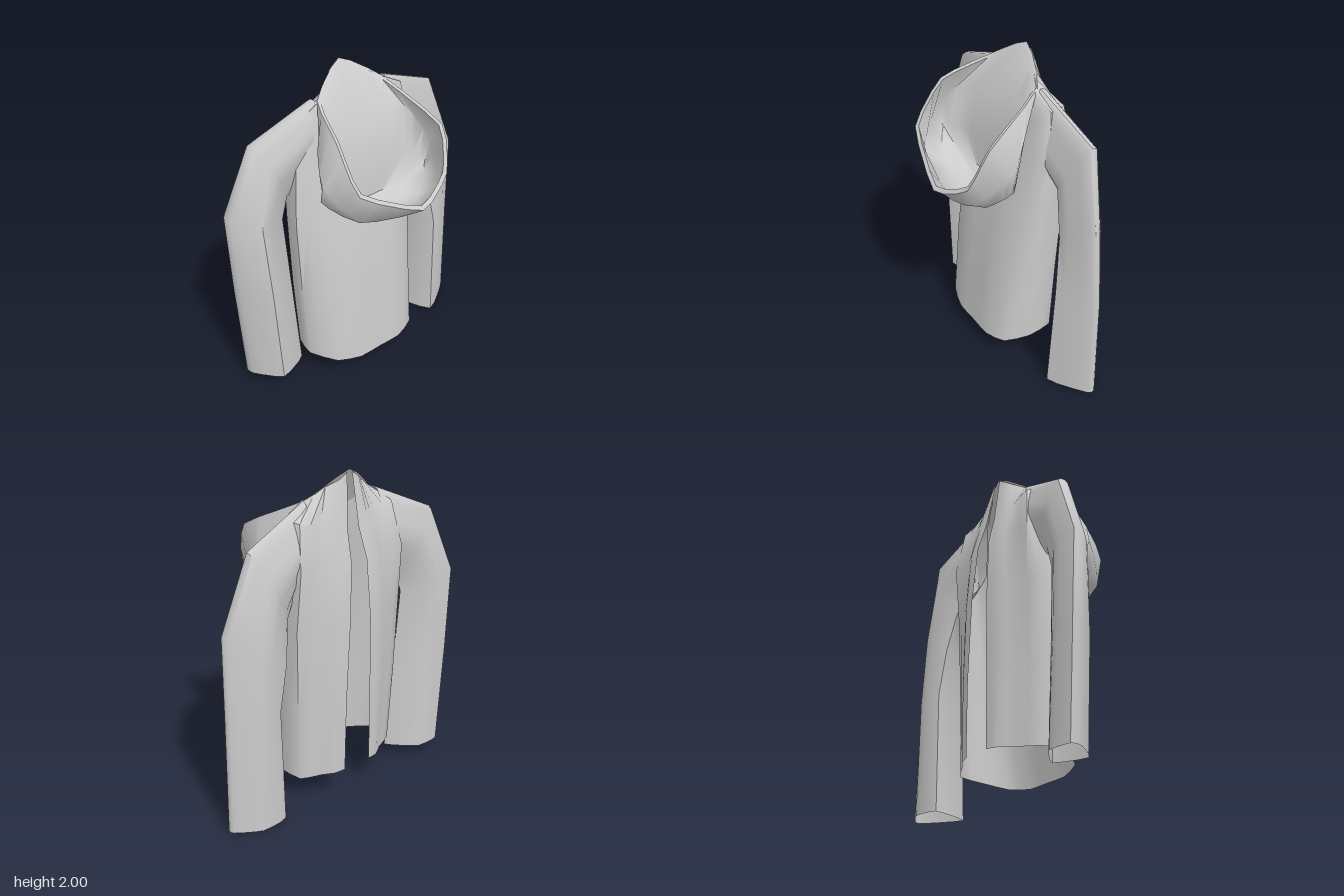
import * as THREE from 'three';
import { toCreasedNormals } from 'three/addons/utils/BufferGeometryUtils.js';

const material = new THREE.MeshStandardMaterial({ color: 0xcccccc, side: THREE.DoubleSide });
const V = (x, y, z) => new THREE.Vector3(x, y, z);
const mix = THREE.MathUtils.lerp;

// Slightly rounded polyline through the points.
const curve = (points, closed, segments) =>
  new THREE.CatmullRomCurve3(points, closed, 'catmullrom', 0.25).getPoints(segments);

// Skin a list of equally long cross-sections.
function loft(name, rows, crease) {
  const n = rows[0].length, index = [];
  for (let r = 0; r < rows.length - 1; r++) {
    for (let i = 0; i < n - 1; i++) {
      const a = r * n + i, b = a + 1, c = a + n, d = c + 1;
      index.push(a, c, b, b, c, d);
    }
  }
  const geometry = new THREE.BufferGeometry().setFromPoints(rows.flat());
  geometry.setIndex(index);
  const mesh = new THREE.Mesh(toCreasedNormals(geometry, crease), material);
  mesh.name = name;
  return mesh;
}

// Jacket body: open cross-sections running from one front edge round the back to the other.
function body() {
  // front x, y, edge +z, -z | side x, y, +z, -z | back x, y | boxiness of front +z, -z, back
  const rows = [
    [-0.385, 0.20, 0.11, 0.08, -0.14, 0.17, 0.43, 0.345, 0.095, 0.12, 0.4, 0.5, 0.8],
    [-0.39, 0.65, 0.10, 0.08, -0.15, 0.65, 0.455, 0.365, 0.05, 0.65, 0.4, 0.5, 0.75],
    [-0.39, 1.15, 0.09, 0.06, -0.16, 1.15, 0.46, 0.385, 0.0, 1.10, 0.45, 0.55, 0.65],
    [-0.37, 1.50, 0.07, 0.04, -0.18, 1.50, 0.42, 0.39, -0.075, 1.45, 0.75, 0.75, 0.75],
    [-0.32, 1.68, 0.05, 0.03, -0.19, 1.77, 0.36, 0.36, -0.11, 1.63, 0.7, 0.7, 0.8],
    [-0.275, 1.985, 0.035, 0.0, -0.17, 1.845, 0.25, 0.22, -0.12, 1.74, 0.05, 0.05, 0.8],
  ].map(([fx, fy, ep, en, sx, sy, zp, zn, bx, by, boxP, boxN, back]) => {
    const half = (s, e, w, box, corner) => [
      V(fx, fy, s * e),
      V(mix(fx, sx, 0.06), mix(fy, sy, 0.25), s * mix(e, w, 0.25)),
      V(mix(fx, sx, mix(0.5, 0.25, Math.min(1, box * 2))), mix(fy, sy, 0.5), s * mix(e, w, 0.5)),
      V(mix(sx, fx, box), mix(fy, sy, 0.95), s * w * mix(0.97, 0.9, box)),
      V(mix(sx, bx, 0.2), sy, s * w),
      V(mix(sx, bx, back), mix(sy, by, 0.6), s * w * corner),
      V(bx, by, s * w * 0.4),
    ];
    const points = [...half(-1, en, zn, boxN, 0.8), V(bx, by, 0.02),
      ...half(1, ep, zp, boxP, 0.75).reverse()];
    return curve(points, false, 28);
  });
  return loft('jacketBody', rows, 0.9);
}

// Sleeve: flattened sections with a narrow outer edge and a front, inner and back corner.
// Ring: outer x, y, z | inner x, y, z | front x | back x
function sleeve(name, edge, frontT, backT, rings) {
  const rows = rings.map(([ox, oy, oz, ix, iy, iz, fx, bx]) => curve([
    V(ox + edge, oy, oz),
    V(ox - edge, oy, oz),
    V(fx, mix(iy, oy, frontT), mix(iz, oz, frontT)),
    V(ix, iy, iz),
    V(bx, mix(iy, oy, backT), mix(iz, oz, backT)),
  ], true, 15));
  return loft(name, rows, 0.8);
}

// Hood: a hanging bowl with an outer shell, a thin rim and an inner lining.
function hood() {
  const loops = [
    [[-0.27, 2.0, 0.02], [-0.17, 1.85, 0.25], [0.1, 1.74, 0.335], [0.285, 1.48, 0.325],
      [0.385, 1.29, -0.05], [0.31, 1.4, -0.29], [0.2, 1.65, -0.345], [-0.18, 1.85, -0.22]],
    [[-0.1, 1.7, 0], [-0.06, 1.7, 0.33], [0.1, 1.5, 0.435], [0.26, 1.3, 0.31],
      [0.31, 1.23, -0.06], [0.27, 1.28, -0.28], [0.08, 1.48, -0.39], [-0.06, 1.7, -0.3]],
    [[-0.02, 1.45, 0], [-0.01, 1.42, 0.27], [0.06, 1.38, 0.42], [0.15, 1.24, 0.27],
      [0.2, 1.175, -0.07], [0.16, 1.2, -0.24], [0.06, 1.34, -0.37], [-0.01, 1.42, -0.27]],
    [[-0.01, 1.2, 0], [0, 1.22, 0.12], [0.04, 1.23, 0.22], [0.1, 1.19, 0.12],
      [0.14, 1.155, -0.08], [0.1, 1.17, -0.15], [0.05, 1.22, -0.22], [0, 1.21, -0.12]],
  ];
  const outer = loops.map((loop) => curve(loop.map((p) => V(...p)), true, 24));
  outer.push(outer[0].map(() => V(0.06, 1.17, -0.03)));
  const inner = outer.map((loop, r) => {
    const centre = loop.reduce((s, p) => s.add(p), V(0, 0, 0)).divideScalar(loop.length);
    return loop.map((p) => p.clone().lerp(centre, 0.06).add(V(0, r > 2 ? 0.02 : 0, 0)));
  });
  return loft('hood', [...inner.reverse(), ...outer], 1);
}

export function createModel() {
  const model = new THREE.Group();
  model.name = 'hoodedJacket';
  model.add(body(), hood());
  model.add(sleeve('leftHandSleeve', 0.035, 0.5, 0.6, [
    [-0.20, 1.835, 0.26, -0.22, 1.36, 0.34, -0.3, -0.13],
    [-0.26, 1.66, 0.64, -0.22, 1.29, 0.45, -0.32, -0.14],
    [-0.295, 1.25, 0.81, -0.22, 1.15, 0.49, -0.34, -0.135],
    [-0.30, 0.72, 0.79, -0.21, 0.72, 0.465, -0.335, -0.11],
    [-0.30, 0.07, 0.755, -0.19, 0.08, 0.43, -0.34, -0.11],
  ]));
  // Listed from the cuff up so that the outer faces point outward on this side too.
  model.add(sleeve('rightHandSleeve', 0.025, 0.55, 0.3, [
    [-0.235, 0.01, -0.81, -0.32, 0.0, -0.48, -0.345, -0.07],
    [-0.225, 0.7, -0.8, -0.32, 0.72, -0.505, -0.345, -0.09],
    [-0.20, 1.21, -0.78, -0.31, 1.0, -0.45, -0.345, -0.13],
    [-0.25, 1.66, -0.64, -0.27, 1.24, -0.41, -0.34, -0.15],
    [-0.20, 1.835, -0.24, -0.22, 1.36, -0.33, -0.3, -0.13],
  ]));
  return model;
}
